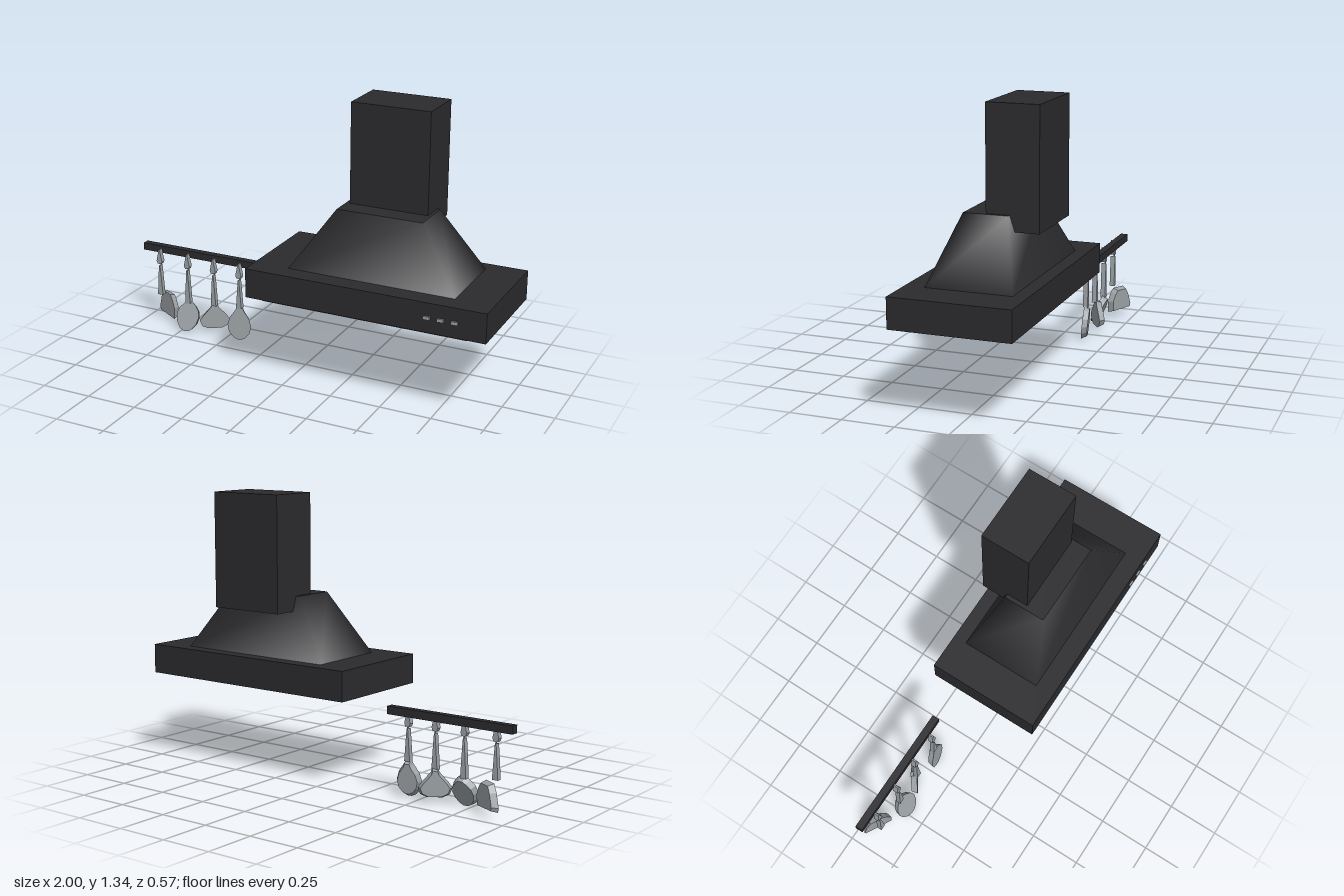
import * as THREE from 'three';

const BLACK = new THREE.MeshStandardMaterial({ color: 0x2b2b2e });
const STEEL = new THREE.MeshStandardMaterial({ color: 0x9aa0a4, flatShading: true, side: THREE.DoubleSide });
const FILTER = new THREE.MeshStandardMaterial({ color: 0x77777a });

function add(parent, name, geometry, material) {
  const mesh = new THREE.Mesh(geometry, material);
  mesh.name = name;
  parent.add(mesh);
  return mesh;
}

// Box given by its minimum and maximum on each axis
function box(parent, name, x0, x1, y0, y1, z0, z1, material) {
  const mesh = add(parent, name, new THREE.BoxGeometry(x1 - x0, y1 - y0, z1 - z0), material);
  mesh.position.set((x0 + x1) / 2, (y0 + y1) / 2, (z0 + z1) / 2);
  return mesh;
}

// Sloped canopy between two rectangles, shaded smoothly round its sides
function canopyGeometry(bottom, top) {
  const ring = ([x0, x1, z0, z1], y) => [x0, y, z1, x1, y, z1, x1, y, z0, x0, y, z0];
  const low = ring(bottom, 0.575), high = ring(top, 0.867);
  const index = [];
  for (let i = 0; i < 4; i++) {
    const j = (i + 1) % 4;
    index.push(i, j, 4 + j, i, 4 + j, 4 + i);
  }
  index.push(8, 9, 10, 8, 10, 11);
  const geo = new THREE.BufferGeometry();
  geo.setAttribute('position', new THREE.Float32BufferAttribute([...low, ...high, ...high], 3));
  geo.setIndex(index);
  geo.computeVertexNormals();
  return geo;
}

// Plate with its front face at z = 0 and an optional chamfered back
function plate(points, depth, bevel = 0) {
  const shape = new THREE.Shape(points.map(([x, y]) => new THREE.Vector2(x, y)));
  const geo = new THREE.ExtrudeGeometry(shape, {
    depth: depth, bevelEnabled: false, steps: 1,
  });
  geo.translate(0, 0, -depth);
  if (bevel) {
    geo.computeBoundingBox();
    const c = geo.boundingBox.getCenter(new THREE.Vector3());
    const p = geo.attributes.position;
    for (let i = 0; i < p.count; i++) {
      if (p.getZ(i) < -depth / 2) {
        p.setX(i, c.x + (p.getX(i) - c.x) * (1 - bevel));
        p.setY(i, c.y + (p.getY(i) - c.y) * (1 - bevel));
      }
    }
    geo.computeVertexNormals();
  }
  return geo;
}

// Mirror a half outline, listed from top to bottom
const mirrored = (half) => [...half, ...half.slice().reverse().map(([x, y]) => [-x, y])];

// Head outlines hang down from the end of the handle
const bladeOutline = [[-0.035, 0], [0.035, 0], [0.052, -0.02], [0.075, -0.065], [0.07, -0.125], [-0.07, -0.12], [-0.076, -0.1], [-0.055, -0.035]];
const spoonOutline = mirrored([[0.013, 0], [0.032, -0.014], [0.056, -0.042], [0.065, -0.075], [0.056, -0.112], [0.034, -0.142], [0.012, -0.154]]);
const turnerOutline = mirrored([[0.013, 0], [0.02, -0.02], [0.06, -0.065], [0.078, -0.09], [0.066, -0.12], [0.035, -0.135]]);
const dropOutline = mirrored([[0.014, 0], [0.022, -0.02], [0.05, -0.06], [0.062, -0.1], [0.054, -0.138], [0.03, -0.165], [0.01, -0.175]]);

const utensils = [
  { name: 'spatula', x: -0.895, end: 0.165, headX: -0.885, outline: bladeOutline, y: 0.162, z: -0.165, yaw: -0.5, tilt: 0, depth: 0.03, bevel: 0.15 },
  { name: 'spoon', x: -0.733, end: 0.145, headX: -0.725, outline: spoonOutline, y: 0.155, z: -0.132, yaw: 0, tilt: -0.4, depth: 0.03, bevel: 0.15 },
  { name: 'turner', x: -0.582, end: 0.16, headX: -0.582, outline: turnerOutline, y: 0.168, z: -0.135, yaw: 0.6, tilt: 0, depth: 0.03, bevel: 0.15 },
  { name: 'ladle', x: -0.435, end: 0.175, headX: -0.433, outline: dropOutline, y: 0.183, z: -0.125, yaw: 0.2, tilt: -0.08, depth: 0.028, bevel: 0.2 },
];

export function createModel() {
  const model = new THREE.Group();

  // Cooker hood
  const hood = new THREE.Group();
  hood.name = 'cookerHood';
  model.add(hood);
  box(hood, 'hoodBase', -0.175, 1, 0.435, 0.577, -0.282, 0.275, BLACK);
  box(hood, 'chimney', 0.22, 0.605, 0.795, 1.347, -0.257, -0.013, BLACK);
  add(hood, 'canopy', canopyGeometry([0, 0.82, -0.217, 0.183], [0.2, 0.62, -0.122, 0.087]), BLACK);
  box(hood, 'filterPanel', -0.09, 0.91, 0.428, 0.44, -0.108, 0.265, FILTER);
  for (let i = 0; i < 3; i++) {
    const x = 0.71 + i * 0.065;
    box(hood, 'button', x, x + 0.03, 0.499, 0.514, 0.27, 0.284, STEEL);
  }

  // Hanging rail with its utensils
  const rack = new THREE.Group();
  rack.name = 'utensilRack';
  model.add(rack);
  box(rack, 'rail', -1, -0.35, 0.388, 0.425, -0.18, -0.144, BLACK);
  for (const u of utensils) {
    const group = new THREE.Group();
    group.name = u.name;
    rack.add(group);
    const hook = add(group, 'hook', plate(mirrored([[0.004, 0.41], [0.008, 0.385], [0.016, 0.35], [0.01, 0.335]]), 0.024), STEEL);
    const link = box(group, 'hookLink', -0.003, 0.003, 0.305, 0.342, -0.141, -0.135, STEEL);
    const handle = add(group, 'handle', plate(mirrored([[0.003, 0.325], [0.006, 0.29], [0.015, u.end]]), 0.024), STEEL);
    hook.position.set(u.x, 0, -0.12);
    handle.position.set(u.x, 0, -0.12);
    link.position.x = u.x;
    const head = add(group, 'head', plate(u.outline, u.depth, u.bevel), STEEL);
    head.position.set(u.headX, u.y, u.z);
    head.rotation.set(u.tilt, u.yaw, 0, 'YXZ');
  }
  return model;
}
